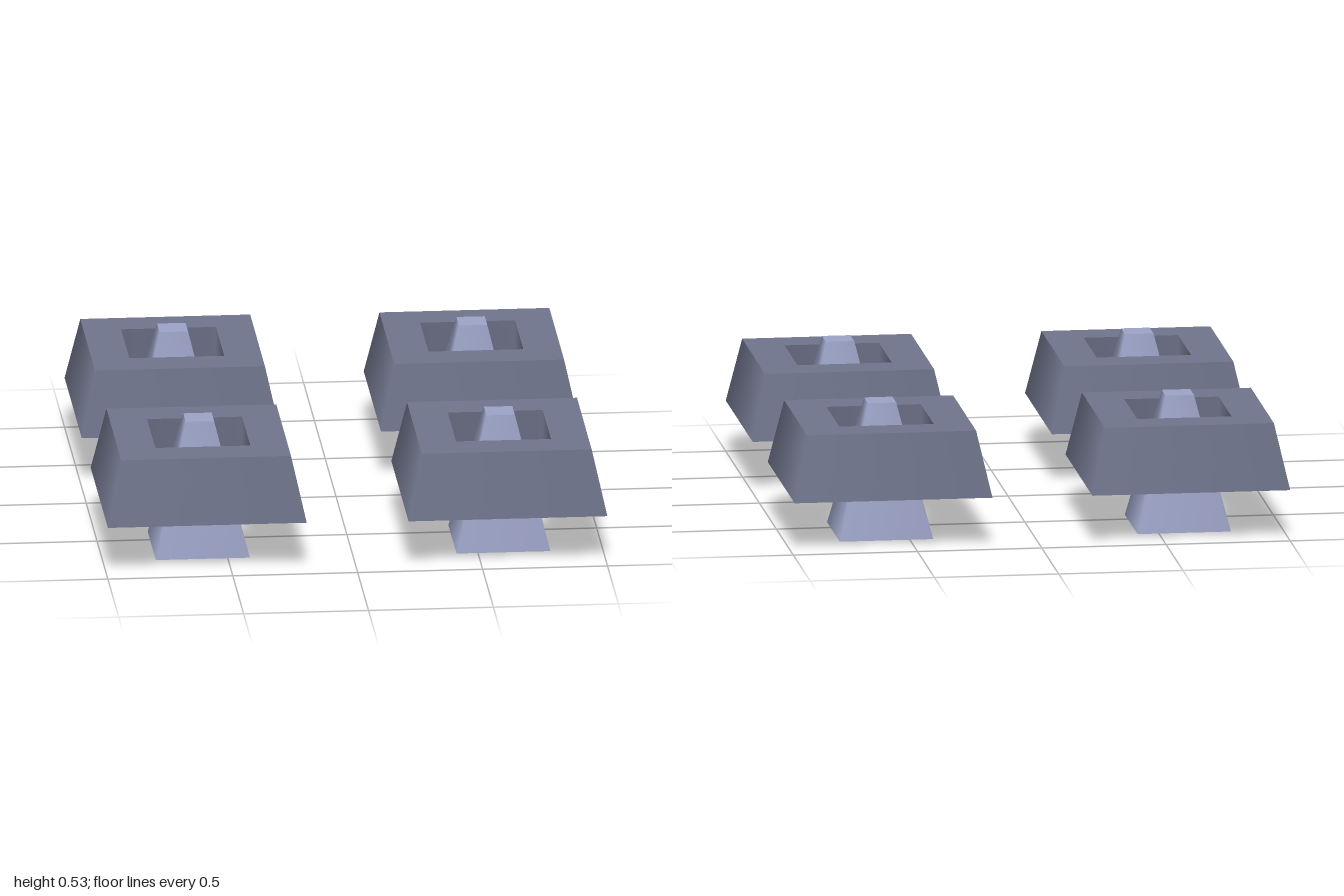
import * as THREE from 'three';
import { mergeGeometries } from 'three/addons/utils/BufferGeometryUtils.js';

// Four-sided solid from a profile of [half width, height]; smooth around the sides, sharp between bands
function squareLathe(profile) {
  const bands = [];
  for (let i = 0; i < profile.length - 1; i++) {
    const pair = [profile[i], profile[i + 1]].map(([half, y]) => new THREE.Vector2(half * Math.SQRT2, y));
    bands.push(new THREE.LatheGeometry(pair, 4, Math.PI / 4));
  }
  return mergeGeometries(bands);
}

export function createModel() {
  const group = new THREE.Group();
  const postMaterial = new THREE.MeshStandardMaterial({ color: 0x9ca3c6 });
  postMaterial.name = 'pale lavender';
  const collarMaterial = new THREE.MeshStandardMaterial({ color: 0x70758c });
  collarMaterial.name = 'slate grey';

  // Tapered post with closed ends
  const postGeometry = squareLathe([[0, 0], [0.188, 0], [0.057, 0.533], [0, 0.533]]);
  // Tapered collar with a straight square hole
  const collarGeometry = squareLathe([[0.398, 0.207], [0.34, 0.47], [0.19, 0.47], [0.19, 0.207], [0.398, 0.207]]);

  // Four feet, slightly unevenly placed
  const feet = [
    ['frontLeftFoot', 0.602, 0.598],
    ['frontRightFoot', -0.6, 0.58],
    ['backLeftFoot', 0.594, -0.585],
    ['backRightFoot', -0.602, -0.602],
  ];
  for (const [name, x, z] of feet) {
    const foot = new THREE.Group();
    foot.name = name;
    foot.position.set(x, 0, z);
    const post = new THREE.Mesh(postGeometry, postMaterial);
    post.name = 'post';
    const collar = new THREE.Mesh(collarGeometry, collarMaterial);
    collar.name = 'collar';
    foot.add(post, collar);
    group.add(foot);
  }
  return group;
}
